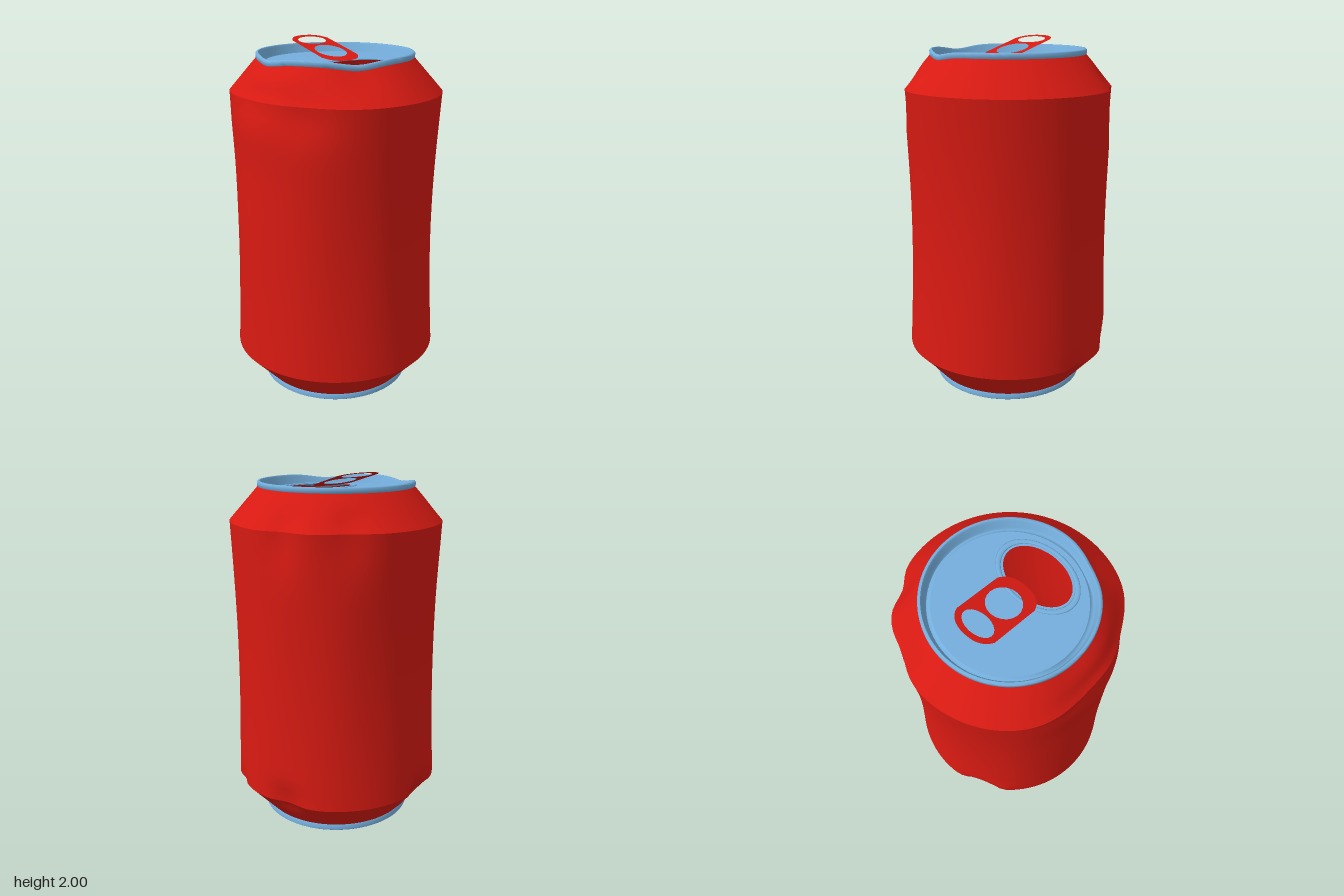
import * as THREE from 'three';
import { toCreasedNormals } from 'three/addons/utils/BufferGeometryUtils.js';

const RED = 0xd81a12, BLUE = 0x74aedc;
const SEGMENTS = 96;
const smooth = THREE.MathUtils.smoothstep;
const LID_Y = 1.89;

// Dents: angle (degrees from +x towards +z), height, angular spread, vertical spread, depth
const DENTS = [
  [180, 1.74, 24, 0.12, 0.045],
  [145, 1.7, 18, 0.14, 0.035],
  [180, 1.4, 30, 0.3, 0.015],
  [-65, 1.74, 12, 0.2, 0.03],
  [-30, 1.72, 9, 0.18, 0.035],
  [-30, 0.22, 10, 0.09, 0.035],
  [-115, 0.2, 9, 0.08, 0.06],
  [-130, 0.3, 7, 0.07, -0.012],
  [10, 0.2, 5, 0.06, 0.018],
  [105, 0.13, 5, 0.05, 0.014],
  [125, 0.13, 5, 0.05, 0.012],
];

function bump(angle, centre, spread) {
  const d = ((angle - centre + 540) % 360) - 180;
  return Math.exp(-((d / spread) ** 2));
}

// Crumples a point: pulled-in waist, dents in the wall, and a sagging top rim
function crumple(x, y, z) {
  const r = Math.hypot(x, z);
  const angle = THREE.MathUtils.radToDeg(Math.atan2(z, x));
  const onWall = smooth(y, 0.04, 0.2) * (1 - smooth(y, 1.75, 1.9)) * smooth(r, 0.425, 0.5);
  let pull = 0;
  if (y > 0.215 && y < 1.73) {
    const t = Math.sin(((y - 0.215) / 1.515) * Math.PI);
    const a = THREE.MathUtils.degToRad(angle);
    pull += t * (0.029 - 0.011 * Math.cos(2 * a) + 0.002 * Math.cos(9 * a));
  }
  for (const [a, h, da, dy, depth] of DENTS) {
    pull += onWall * depth * bump(angle, a, da) * Math.exp(-(((y - h) / dy) ** 2));
  }
  const sag = 0.022 * bump(angle, 113, 17) + 0.022 * bump(angle, 185, 17);
  const drop = sag * smooth(y, 1.7, 1.9) * smooth(r, 0.36, 0.41);
  const k = r > 0 ? (r - pull - drop * 0.3) / r : 1;
  return [x * k, y - drop, z * k];
}

function moveVertices(geometry, rule) {
  const p = geometry.attributes.position;
  for (let i = 0; i < p.count; i++) {
    p.setXYZ(i, ...rule(p.getX(i), p.getY(i), p.getZ(i)));
  }
  return geometry;
}

// Crumpled surface of revolution; each profile leg is [radius, y, divisions]
function crumpledLathe(legs, crease) {
  const points = [new THREE.Vector2(legs[0][0], legs[0][1])];
  for (let i = 1; i < legs.length; i++) {
    const [r, y, n = 1] = legs[i];
    const [r0, y0] = legs[i - 1];
    for (let j = 1; j <= n; j++) {
      points.push(new THREE.Vector2(r0 + ((r - r0) * j) / n, y0 + ((y - y0) * j) / n));
    }
  }
  const geometry = moveVertices(new THREE.LatheGeometry(points, SEGMENTS), crumple);
  return toCreasedNormals(geometry, crease);
}

function ellipse(target, z, rx, rz) {
  const path = new THREE.Path();
  path.absellipse(0, -z, rx, rz, 0, Math.PI * 2, true);
  target.holes.push(path);
}

export function createModel() {
  const model = new THREE.Group();
  const red = new THREE.MeshStandardMaterial({ color: RED, side: THREE.DoubleSide });
  const blue = new THREE.MeshStandardMaterial({ color: BLUE, side: THREE.DoubleSide });

  function add(name, geometry, material) {
    const mesh = new THREE.Mesh(geometry, material);
    mesh.name = name;
    model.add(mesh);
    return mesh;
  }

  // Side wall with tapered shoulder and foot
  add('body', crumpledLathe([
    [0.43, 0.035], [0.592, 0.215, 8], [0.592, 1.73, 36], [0.432, 1.91, 8],
  ], 0.55), red);

  // Foot ring with a domed underside
  add('base', crumpledLathe([
    [0.43, 0.037], [0.435, 0.03], [0.435, 0.004], [0.43, 0], [0.418, 0], [0.408, 0.02],
    [0.37, 0.045], [0.29, 0.07], [0.19, 0.09], [0.09, 0.1], [0, 0.103],
  ], 0.8), blue);

  // Rolled rim and the groove inside it
  add('topRim', crumpledLathe([
    [0.43, 1.908], [0.436, 1.914], [0.436, 1.934], [0.431, 1.94], [0.421, 1.94],
    [0.414, 1.93], [0.407, 1.89], [0.4, 1.88], [0.39, 1.88], [0.38, LID_Y],
  ], 0.9), blue);

  // Lid panel with the drinking hole
  const lidShape = new THREE.Shape();
  lidShape.absarc(0, 0, 0.38, 0, Math.PI * 2, false);
  ellipse(lidShape, 0.19, 0.195, 0.13);
  add('lid', new THREE.ShapeGeometry(lidShape, 48).rotateX(-Math.PI / 2).translate(0, LID_Y, 0), blue);

  // Raised bead around the hole
  const bead = add('holeBead', new THREE.TorusGeometry(1, 0.07, 8, 64).rotateX(Math.PI / 2), blue);
  bead.scale.set(0.222, 0.08, 0.153);
  bead.position.set(0, LID_Y, 0.19);

  // Thin pull tab, lifted at the back
  const w = 0.123, c = 0.07, back = 0.295, front = -0.11;
  const tabShape = new THREE.Shape();
  tabShape.moveTo(-w, front + c);
  tabShape.bezierCurveTo(-w + 0.02, front + 0.02, -0.06, front, 0, front);
  tabShape.bezierCurveTo(0.06, front, w - 0.02, front + 0.02, w, front + c);
  tabShape.lineTo(w, back - c);
  tabShape.bezierCurveTo(w - 0.02, back - 0.02, 0.06, back, 0, back);
  tabShape.bezierCurveTo(-0.06, back, -w + 0.02, back - 0.02, -w, back - c);
  tabShape.closePath();
  ellipse(tabShape, -0.21, 0.09, 0.057);
  ellipse(tabShape, -0.04, 0.09, 0.09);
  const tab = new THREE.ShapeGeometry(tabShape, 10).rotateX(-Math.PI / 2);
  moveVertices(tab, (x, y, z) => [x, 1.898 + 0.252 * (0.11 - z), z]);
  tab.computeVertexNormals();
  add('pullTab', tab, red);

  return model;
}
